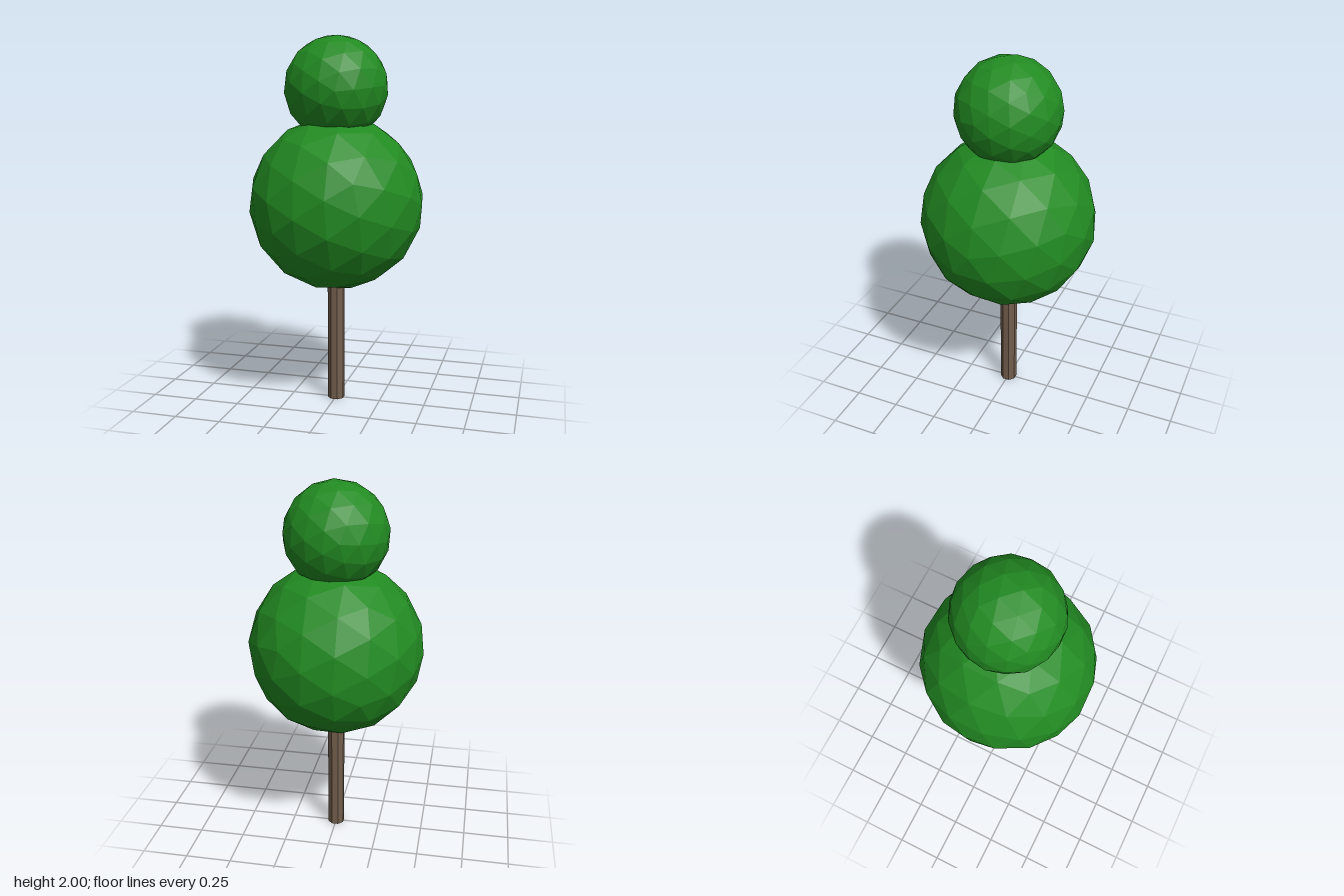
import * as THREE from 'three';

export function createModel() {
  const group = new THREE.Group();
  const leaf = new THREE.MeshStandardMaterial({ color: 0x228b22, flatShading: true });
  const bark = new THREE.MeshStandardMaterial({ color: 0x735f4e, flatShading: true });

  // Faceted ball of foliage, turned so its facets look irregular
  function foliage(name, radius, y, turn) {
    const geometry = new THREE.IcosahedronGeometry(radius, 2);
    geometry.rotateX(turn[0]).rotateY(turn[1]).rotateZ(turn[2]);
    const mesh = new THREE.Mesh(geometry, leaf);
    mesh.name = name;
    mesh.position.y = y;
    group.add(mesh);
  }
  foliage('lowerFoliage', 0.473, 1.108, [0.3, 0.5, 0.17]);
  foliage('upperFoliage', 0.279, 1.723, [0.7, 0.2, 0.4]);

  // Eight-sided trunk, running a little way into the foliage
  const trunk = new THREE.Mesh(new THREE.CylinderGeometry(0.047, 0.047, 0.72, 8), bark);
  trunk.name = 'trunk';
  trunk.geometry.rotateY(Math.PI / 8);
  trunk.position.y = 0.36;
  group.add(trunk);

  return group;
}
